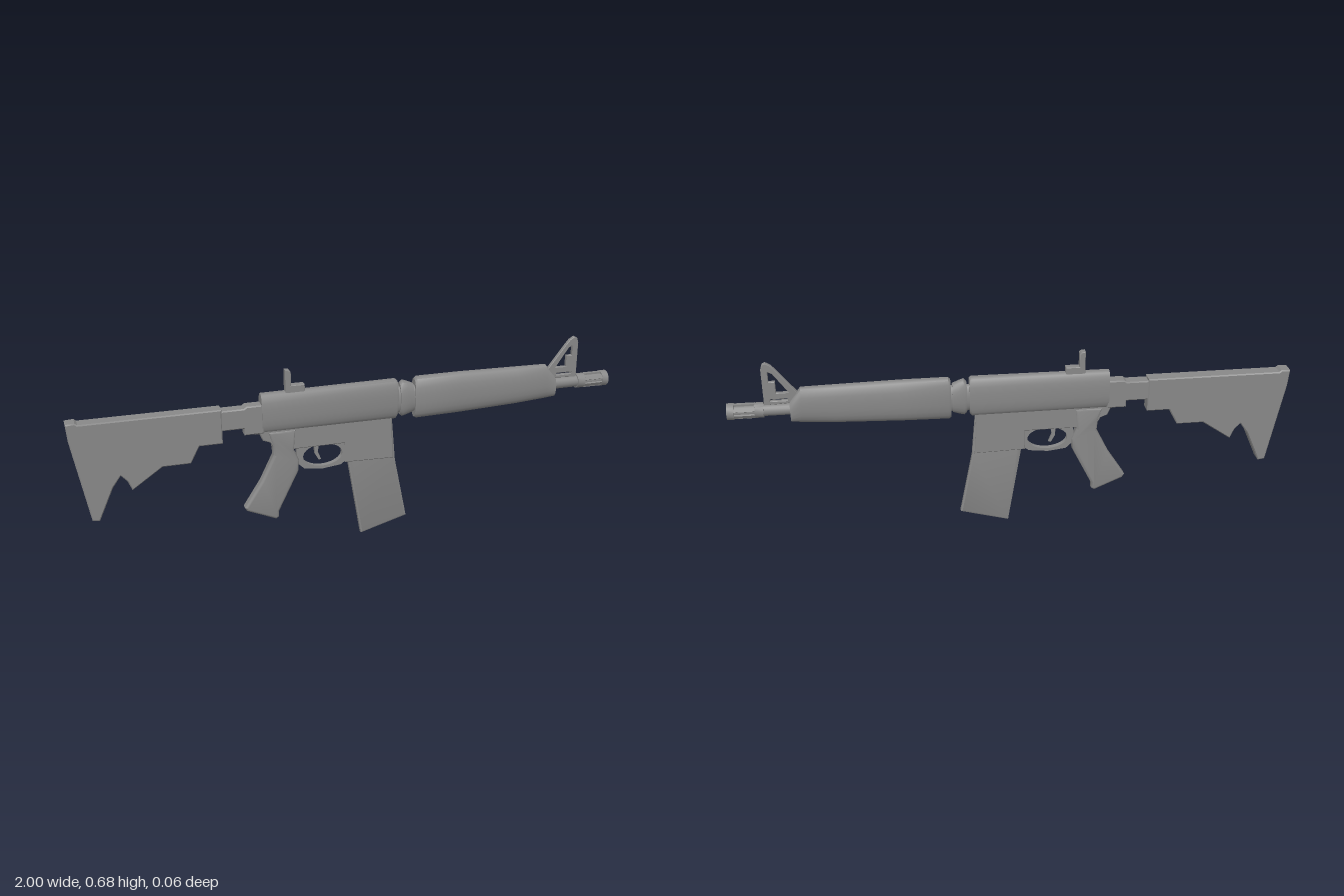
import * as THREE from 'three';
import { toCreasedNormals } from 'three/addons/utils/BufferGeometryUtils.js';

export function createModel() {
  const model = new THREE.Group();
  model.name = 'rifle';
  const grey = new THREE.MeshStandardMaterial({ color: 0x888888 });
  grey.name = 'grey metal';

  const add = (name, geometry) => {
    const mesh = new THREE.Mesh(geometry, grey);
    mesh.name = name;
    model.add(mesh);
    return mesh;
  };

  // Side outline extruded evenly about z = 0, with an inset bevel
  const plate = (name, points, half, bevel = 0.003, bevelDepth = bevel, holes = [], segments = 1) => {
    const toV = (list) => list.map(([x, y]) => new THREE.Vector2(x, y));
    const shape = new THREE.Shape(toV(points));
    holes.forEach((h) => shape.holes.push(new THREE.Path(toV(h))));
    const depth = 2 * (half - bevelDepth);
    const geo = new THREE.ExtrudeGeometry(shape, {
      depth, bevelEnabled: bevel > 0, bevelSize: bevel, bevelOffset: -bevel,
      bevelThickness: bevelDepth, bevelSegments: segments, curveSegments: 6,
    });
    geo.translate(0, 0, -depth / 2);
    return add(name, toCreasedNormals(geo, 0.6));
  };

  // Body lofted along x through rounded sections [x, top, bottom, halfWidth]
  const loft = (name, stations, power = 2.5, sides = 20) => {
    const pos = [], index = [];
    const round = (v) => Math.sign(v) * Math.pow(Math.abs(v), 2 / power);
    stations.forEach(([x, top, bottom, half]) => {
      for (let j = 0; j < sides; j++) {
        const a = ((j + 0.5) / sides) * Math.PI * 2;
        pos.push(x, (top + bottom) / 2 + round(Math.cos(a)) * (top - bottom) / 2, round(Math.sin(a)) * half);
      }
    });
    const last = stations.length - 1;
    [0, last].forEach((i) => pos.push(stations[i][0], (stations[i][1] + stations[i][2]) / 2, 0));
    const centre = stations.length * sides;
    for (let j = 0; j < sides; j++) {
      const k = (j + 1) % sides;
      for (let i = 0; i < last; i++) {
        const a = i * sides + j, b = i * sides + k;
        index.push(a, b, a + sides, b, b + sides, a + sides);
      }
      index.push(centre, k, j, centre + 1, last * sides + j, last * sides + k);
    }
    const geo = new THREE.BufferGeometry();
    geo.setAttribute('position', new THREE.Float32BufferAttribute(pos, 3));
    geo.setIndex(index);
    return add(name, toCreasedNormals(geo, 0.7));
  };

  const rod = (name, x0, x1, y, r, sides = 16) => {
    const geo = new THREE.CylinderGeometry(r, r, x1 - x0, sides);
    geo.rotateZ(-Math.PI / 2).translate((x0 + x1) / 2, y, 0);
    return add(name, toCreasedNormals(geo, 0.7));
  };

  // Shoulder stock and the stepped tube joining it to the receiver
  plate('stock', [
    [-1, 0.56], [-0.995, 0.5], [-0.94, 0.2], [-0.915, 0.197], [-0.862, 0.315], [-0.833, 0.355],
    [-0.812, 0.332], [-0.797, 0.297], [-0.69, 0.37], [-0.592, 0.37], [-0.56, 0.43],
    [-0.478, 0.43], [-0.478, 0.555], [-0.96, 0.555], [-0.968, 0.562],
  ], 0.026, 0.004);
  plate('stockTube', [[-0.49, 0.475], [-0.4, 0.475], [-0.4, 0.45], [-0.33, 0.45],
    [-0.33, 0.555], [-0.39, 0.555], [-0.4, 0.548], [-0.49, 0.548]], 0.023, 0.004);

  // Receiver, joining ring, handguard
  loft('receiver', [[-0.337, 0.592, 0.445, 0.027], [0.155, 0.595, 0.445, 0.029], [0.162, 0.59, 0.455, 0.027]], 2.7);
  loft('neck', [[0.155, 0.565, 0.465, 0.023], [0.24, 0.565, 0.465, 0.023]], 2.2);
  loft('slipRing', [[0.172, 0.578, 0.458, 0.026], [0.182, 0.588, 0.45, 0.028],
    [0.2, 0.582, 0.455, 0.027], [0.222, 0.572, 0.462, 0.025]], 2.3);
  loft('handguard', [[0.228, 0.588, 0.443, 0.026], [0.236, 0.596, 0.438, 0.03], [0.4, 0.596, 0.441, 0.03],
    [0.63, 0.592, 0.45, 0.029], [0.745, 0.59, 0.458, 0.027], [0.785, 0.54, 0.462, 0.024]], 2.4);

  // Barrel and slotted muzzle
  rod('barrel', 0.76, 0.99, 0.512, 0.022);
  rod('muzzleCollar', 0.875, 0.905, 0.512, 0.027);
  rod('muzzleTip', 0.975, 1, 0.512, 0.029);
  for (let i = 0; i < 6; i++) {
    const a = (i / 6) * Math.PI * 2;
    const geo = new THREE.BoxGeometry(0.075, 0.008, 0.014);
    geo.translate(0.942, 0.023, 0).rotateX(a).translate(0, 0.512, 0);
    add('muzzleBar', geo);
  }

  // Front sight with its open frame, gas tube
  plate('frontSight', [[0.745, 0.56], [0.785, 0.535], [0.872, 0.53], [0.872, 0.665], [0.866, 0.683],
    [0.855, 0.688], [0.838, 0.678], [0.825, 0.663]], 0.008, 0.002, 0.002,
  [[[0.785, 0.575], [0.835, 0.647], [0.85, 0.655], [0.85, 0.617], [0.828, 0.617], [0.828, 0.575]],
    [[0.79, 0.552], [0.85, 0.552], [0.85, 0.545], [0.79, 0.545]]]);
  rod('gasTube', 0.75, 0.865, 0.561, 0.007, 8);

  // Rear sight
  plate('rearSight', [[-0.249, 0.585], [-0.18, 0.585], [-0.18, 0.613], [-0.229, 0.613],
    [-0.229, 0.662], [-0.234, 0.668], [-0.249, 0.67]], 0.014, 0.002);

  // Lower receiver with the trigger opening
  plate('lowerReceiver', [[-0.362, 0.46], [-0.362, 0.447], [-0.345, 0.445], [-0.335, 0.42], [-0.31, 0.41],
    [-0.29, 0.375], [-0.2, 0.375], [-0.035, 0.375], [-0.035, 0.3], [0.148, 0.295], [0.14, 0.46]], 0.016, 0.003);
  const guard = new THREE.Shape([[-0.21, 0.385], [-0.215, 0.32], [-0.185, 0.292], [-0.12, 0.284],
    [-0.05, 0.292], [-0.025, 0.31], [-0.025, 0.385]].map((p) => new THREE.Vector2(...p)));
  const opening = new THREE.Path();
  opening.absellipse(-0.117, 0.338, 0.073, 0.042, 0, Math.PI * 2);
  guard.holes.push(opening);
  const guardGeo = new THREE.ExtrudeGeometry(guard, { depth: 0.02, bevelEnabled: false, curveSegments: 20 });
  add('triggerGuard', toCreasedNormals(guardGeo.translate(0, 0, -0.01), 0.6));
  plate('trigger', [[-0.148, 0.385], [-0.128, 0.385], [-0.134, 0.35], [-0.122, 0.32], [-0.131, 0.318],
    [-0.146, 0.345]], 0.006, 0.001);

  // Pistol grip with rounded sides
  plate('grip', [[-0.318, 0.45], [-0.302, 0.4], [-0.298, 0.36], [-0.345, 0.265], [-0.408, 0.168],
    [-0.4, 0.155], [-0.295, 0.11], [-0.284, 0.118], [-0.283, 0.14], [-0.208, 0.29], [-0.205, 0.33],
    [-0.222, 0.37], [-0.215, 0.45]], 0.02, 0.01, 0.012, [], 3);

  // Slanted magazine with bevelled edges
  plate('magazine', [[-0.03, 0.45], [-0.03, 0.35], [0.027, 0.004], [0.203, 0.053], [0.157, 0.285],
    [0.143, 0.45]], 0.0115, 0.006, 0.003);

  return model;
}
